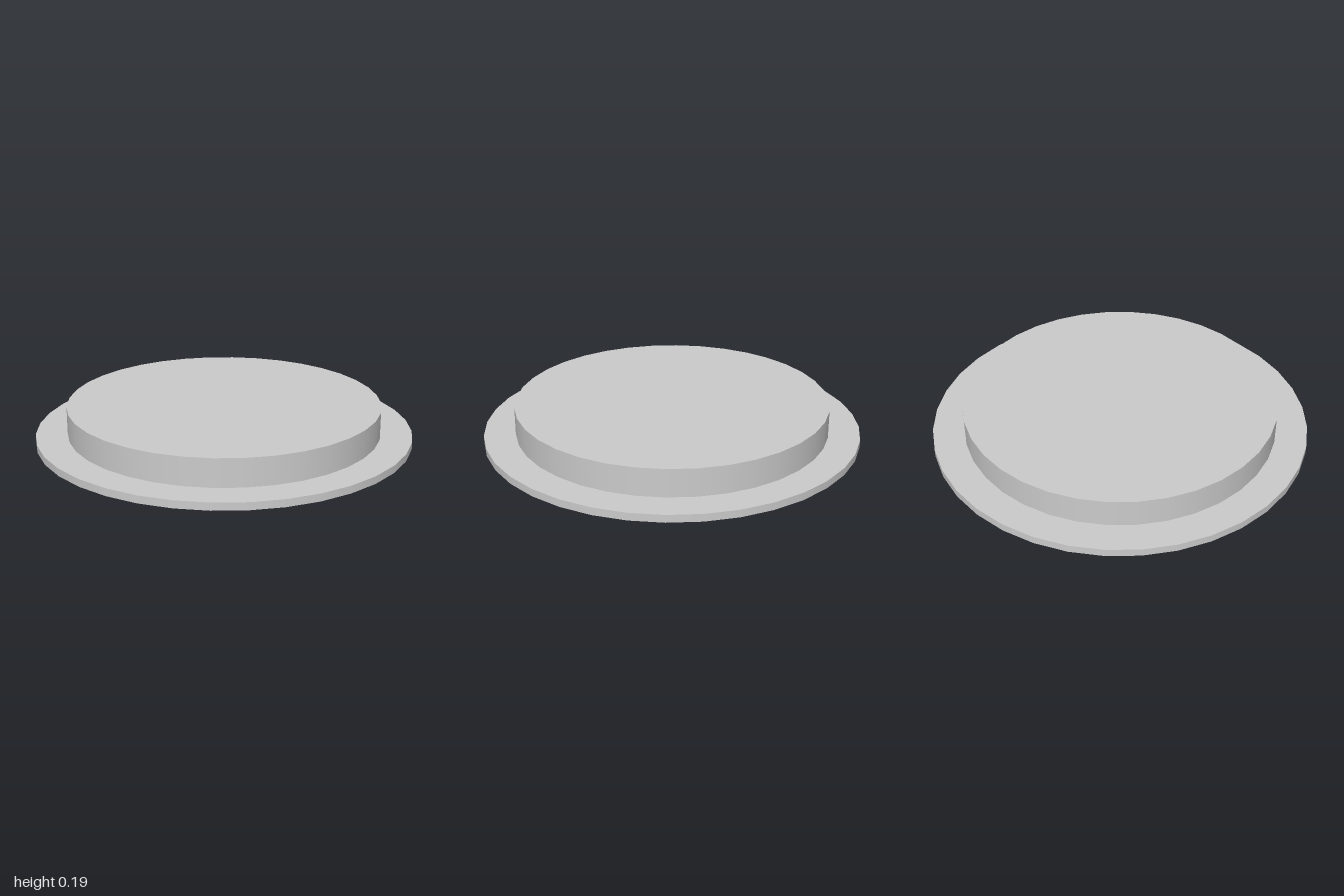
import * as THREE from 'three';

const SIDES = 36;
const material = new THREE.MeshStandardMaterial({ color: 0xcccccc });

// Solid disc standing between two heights
function disc(name, radius, bottom, top) {
  const geometry = new THREE.CylinderGeometry(radius, radius, top - bottom, SIDES);
  const mesh = new THREE.Mesh(geometry, material);
  mesh.name = name;
  mesh.position.y = (bottom + top) / 2;
  return mesh;
}

export function createModel() {
  const group = new THREE.Group();
  group.name = 'steppedDisc';
  // Thin wide flange at the bottom, thicker raised disc on top
  group.add(disc('baseFlange', 1, 0, 0.04));
  group.add(disc('raisedDisc', 0.833, 0.04, 0.188));
  return group;
}
